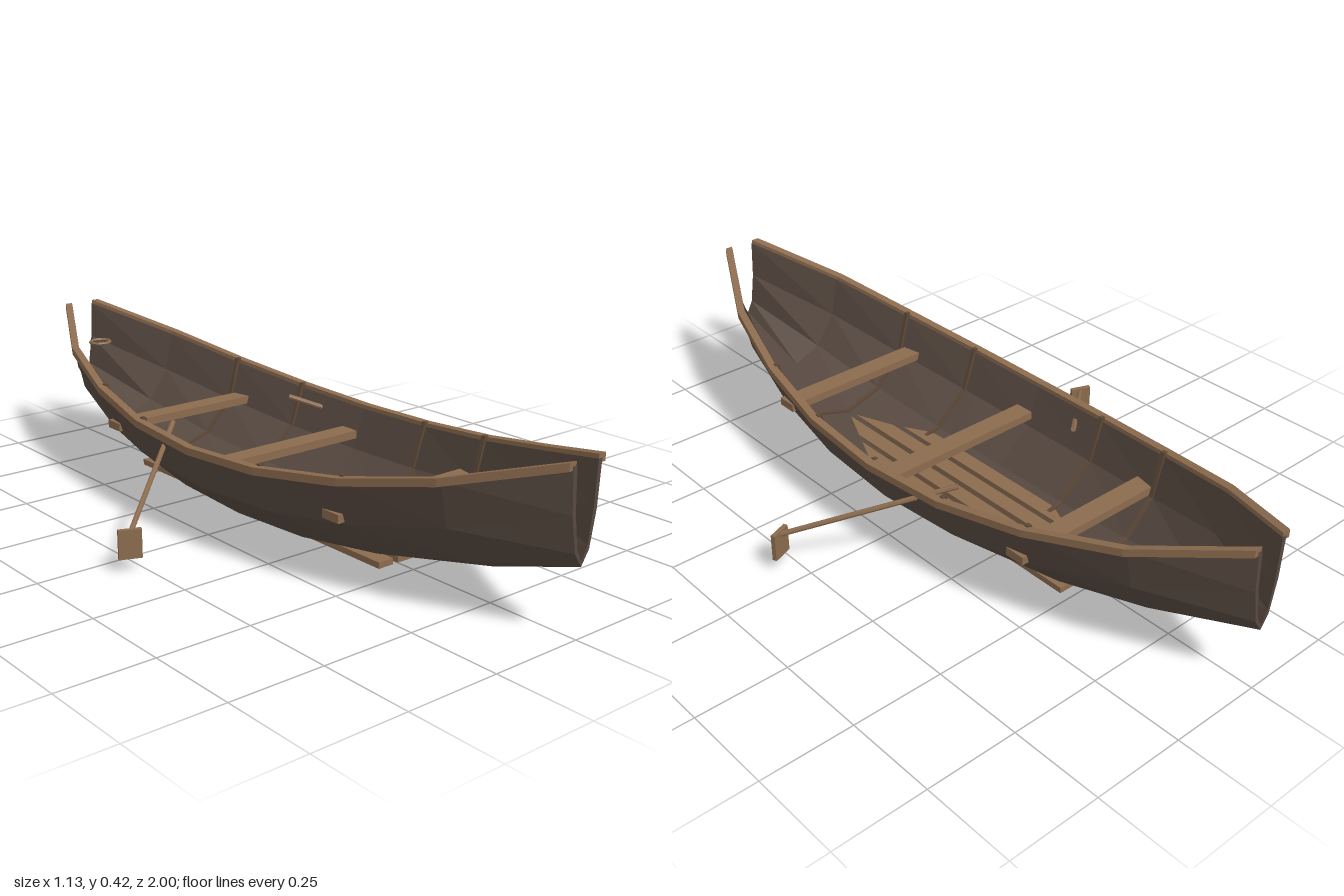
import * as THREE from 'three';

const mat = (name, color) => {
  const m = new THREE.MeshStandardMaterial({ color });
  m.name = name;
  m.flatShading = true;
  return m;
};

// Joins a row of rings (counter-clockwise seen against the path) into a closed, faceted solid
function loft(rings) {
  const pos = [];
  const quad = (a, b, c, d) => [a, b, c, a, c, d].forEach((p) => pos.push(p.x, p.y, p.z));
  const n = rings[0].length;
  for (let k = 0; k < rings.length - 1; k++) {
    const r = rings[k], s = rings[k + 1];
    for (let i = 0; i < n; i++) {
      const j = (i + 1) % n;
      quad(r[i], r[j], s[j], s[i]);
    }
  }
  const first = rings[0], last = rings[rings.length - 1];
  for (let i = 0; i < n / 2 - 1; i++) {
    quad(first[i], first[n - 1 - i], first[n - 2 - i], first[i + 1]);
    quad(last[i], last[i + 1], last[n - 2 - i], last[n - 1 - i]);
  }
  const g = new THREE.BufferGeometry();
  g.setAttribute('position', new THREE.Float32BufferAttribute(pos, 3));
  g.computeVertexNormals();
  return g;
}

// Hull lines: half width, keel height and sheer height along z
const HALF_WIDTHS = [0.3, 0.287, 0.245, 0.176, 0.046];
const STATIONS = [-1, -0.75, -0.5, -0.25, 0, 0.25, 0.5, 0.75, 1];
const halfWidth = (z) => HALF_WIDTHS[Math.round(Math.abs(z) * 4)];
const keelY = (z) => 0.003 + 0.17 * Math.abs(z) ** 2.2;
const sheerY = (z) => 0.242 + 0.166 * z * z;
const PROFILE = [[-1, 1], [-0.86, 0.53], [-0.5, 0.15], [0, 0], [0.5, 0.15], [0.86, 0.53], [1, 1]];

function section(z, inset) {
  const w = halfWidth(z) - inset, k = keelY(z) + inset, h = sheerY(z) - k;
  return PROFILE.map(([u, v]) => new THREE.Vector3(u * w, k + v * h, z));
}

export function createModel() {
  const boat = new THREE.Group();
  boat.name = 'rowingBoat';
  const darkWood = mat('darkHullWood', 0x574940);
  const ribWood = mat('ribWood', 0x5c4837);
  const lightWood = mat('lightWood', 0x8b6b4e);

  const add = (name, geometry, material, x = 0, y = 0, z = 0) => {
    const m = new THREE.Mesh(geometry, material);
    m.name = name;
    m.position.set(x, y, z);
    boat.add(m);
    return m;
  };

  // Thick-walled hull, open at both ends
  add('hull', loft(STATIONS.map((z) => [...section(z, 0), ...section(z, 0.012).reverse()])), darkWood);

  // Gunwales along both sheer lines
  for (const side of [-1, 1]) {
    const rings = STATIONS.map((z) => {
      const x = side * (halfWidth(z) + 0.001), y = sheerY(z);
      return [[-1, -1], [1, -1], [1, 1], [-1, 1]].map(
        ([u, v]) => new THREE.Vector3(x + u * 0.011, y + v * 0.01, z * 0.999));
    });
    add(side > 0 ? 'leftGunwale' : 'rightGunwale', loft(rings), lightWood);
  }

  // Ribs following the inside of the hull
  for (const z of [-0.5, -0.25, 0.25, 0.5]) {
    const path = section(z, 0.012);
    path[0].y += 0.014;
    path[6].y += 0.014;
    const centre = new THREE.Vector3(0, sheerY(z) + 0.02, z);
    const rings = path.map((p) => {
      const inward = centre.clone().sub(p).normalize();
      return [[-1, -1], [1, -1], [1, 1], [-1, 1]].map(([u, v]) => {
        const q = p.clone().addScaledVector(inward, u * 0.006);
        q.z += v * 0.006;
        return q;
      });
    });
    add('rib', loft(rings), ribWood);
  }

  // Bench seats
  for (const z of [-0.46, 0, 0.46]) {
    add('seat', new THREE.BoxGeometry(0.47, 0.022, 0.056), lightWood, 0, 0.185, z);
  }

  // Floor slats
  for (const x of [-0.092, -0.031, 0.031, 0.092]) {
    add('floorSlat', new THREE.BoxGeometry(0.045, 0.016, 1), lightWood, x, 0.043, 0);
  }

  // Mooring ring at the stern
  add('mooringRing', new THREE.TorusGeometry(0.03, 0.005, 6, 14), lightWood, 0, 0.307, -0.9)
    .rotation.x = Math.PI / 2;

  // Oars: a slanting shaft through each side and a hanging blade
  for (const side of [-1, 1]) {
    const a = new THREE.Vector3(side * 0.2, 0.245, -0.22);
    const b = new THREE.Vector3(side * 0.533, 0.1, 0.074);
    const dir = b.clone().sub(a);
    const mid = a.clone().add(b).multiplyScalar(0.5);
    const shaft = add('oarShaft', new THREE.CylinderGeometry(0.007, 0.007, dir.length(), 8), lightWood,
      mid.x, mid.y, mid.z);
    shaft.quaternion.setFromUnitVectors(new THREE.Vector3(0, 1, 0), dir.normalize());
    add('oarBlade', new THREE.BoxGeometry(0.058, 0.075, 0.012), lightWood, side * 0.536, 0.074, 0.076)
      .rotation.y = side * 0.37;
  }
  return boat;
}
